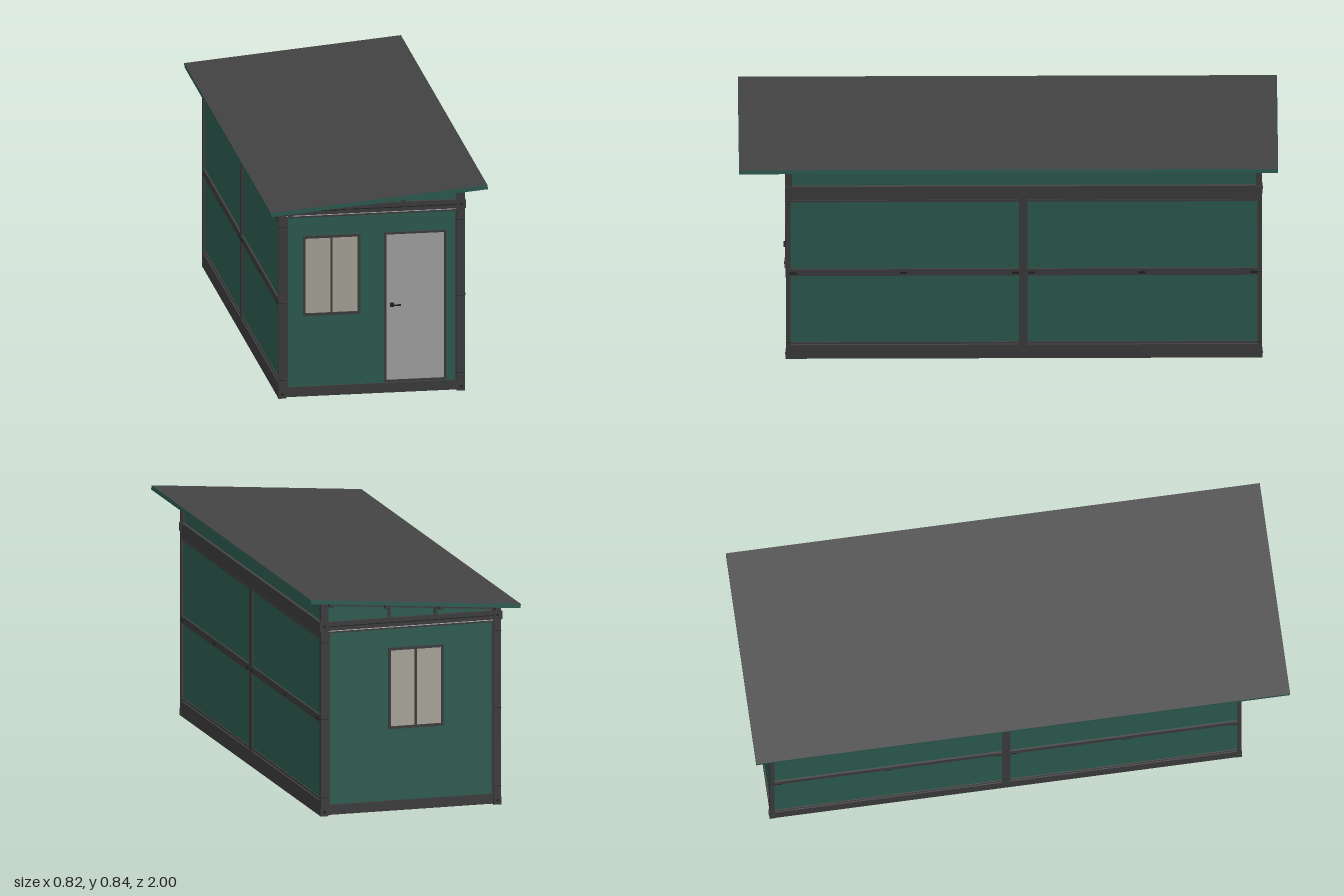
import * as THREE from 'three';

const mat = (color) => {
  const m = new THREE.MeshStandardMaterial();
  m.color.set(color);
  return m;
};

export function createModel() {
  const root = new THREE.Group();
  root.name = 'cabin';
  const green = mat(0x33665a), dark = mat(0x444444), black = mat(0x262626);
  const glass = mat(0xbab6aa), doorGrey = mat(0xb4b4b4), light = mat(0xcccccc);

  const ZF = 0.825, ZB = -0.94, ZC = (ZF + ZB) / 2, LEN = ZF - ZB, W = 0.35;
  const slope = 0.07 / 0.82;
  const under = (x) => 0.79 + slope * x; // underside of the roof

  // box given by its limits on each axis
  function box(name, x0, x1, y0, y1, z0, z1, m, parent = root) {
    const g = new THREE.BoxGeometry(Math.abs(x1 - x0), Math.abs(y1 - y0), Math.abs(z1 - z0));
    const mesh = new THREE.Mesh(g, m);
    mesh.position.set((x0 + x1) / 2, (y0 + y1) / 2, (z0 + z1) / 2);
    mesh.name = name;
    parent.add(mesh);
    return mesh;
  }
  // upright outline with thickness along z
  function plate(name, pts, z0, z1, m) {
    const shape = new THREE.Shape(pts.map((p) => new THREE.Vector2(p[0], p[1])));
    const g = new THREE.ExtrudeGeometry(shape, { depth: Math.abs(z1 - z0), bevelEnabled: false });
    g.translate(0, 0, Math.min(z0, z1));
    const mesh = new THREE.Mesh(g, m);
    mesh.name = name;
    root.add(mesh);
  }
  // rectangular frame of four bars
  function frame(name, x0, x1, y0, y1, t, z0, z1) {
    const g = new THREE.Group();
    g.name = name;
    root.add(g);
    box('bottomBar', x0, x1, y0, y0 + t, z0, z1, dark, g);
    box('topBar', x0, x1, y1 - t, y1, z0, z1, dark, g);
    box('sideBar', x0, x0 + t, y0 + t, y1 - t, z0, z1, dark, g);
    box('sideBar', x1 - t, x1, y0 + t, y1 - t, z0, z1, dark, g);
    return g;
  }

  // roof slab: dark faces, green edges
  const roof = new THREE.Mesh(
    new THREE.BoxGeometry(0.818, 0.016, 2),
    [green, green, dark, dark, green, green]);
  roof.rotation.z = Math.atan(slope);
  roof.position.y = 0.798;
  roof.name = 'roof';
  root.add(roof);

  // purlins running under the roof and out past both gables
  for (const x of [-0.33, -0.112, 0.097, 0.314]) {
    const p = box('purlin', x - 0.008, x + 0.008, 0, 0.02, -0.965, 0.965, dark);
    p.rotation.z = Math.atan(slope);
    p.position.y = under(x) - 0.01;
  }

  // floor and ceiling
  box('floor', -0.345, 0.345, 0.003, 0.04, ZB + 0.005, ZF - 0.005, black);
  box('ceiling', -0.335, 0.335, 0.72, 0.732, ZB + 0.01, ZF - 0.01, dark);

  // the two end walls
  for (const s of [1, -1]) {
    const zo = s > 0 ? ZF : ZB;
    const at = (d) => zo - s * d; // distance inward from the outer face
    box('endPanel', -0.325, 0.325, 0.035, 0.71, at(0.007), at(0.025), green);
    box('endSill', -0.335, 0.335, 0.004, 0.042, at(0.002), at(0.03), dark);
    box('endBeam', -0.335, 0.335, 0.704, 0.738, at(0.002), at(0.03), dark);
    box('beamLip', -0.32, 0.32, 0.718, 0.721, at(0.001), at(0.01), black);
    box('lightGap', -0.32, 0.32, 0.700, 0.704, at(0.006), at(0.02), light);
    box('panelTrim', -0.318, 0.318, 0.694, 0.700, at(0.004), at(0.02), dark);
    plate('gablePanel', [[-0.335, 0.735], [0.335, 0.735], [0.335, under(0.335)], [-0.335, under(-0.335)]],
      at(0.012), at(0.022), green);
    plate('rafter', [[-0.35, under(-0.35) - 0.019], [0.35, under(0.35) - 0.019], [0.35, under(0.35)], [-0.35, under(-0.35)]],
      at(0.004), at(0.024), dark);
    for (const x of [-0.098, 0.082])
      box('gableStud', x - 0.006, x + 0.006, 0.735, under(x) - 0.01, at(0.005), at(0.02), dark);

    for (const e of [1, -1]) {
      // corner post with end plates, bolts and joint lines
      box('cornerPost', e * 0.32, e * W, 0, under(e * W), at(0), at(0.016), dark);
      box('postTrim', e * 0.314, e * 0.32, 0.04, 0.7, at(0.004), at(0.02), dark);
      box('footPlate', e * 0.321, e * 0.351, 0, 0.028, at(-0.002), at(0.016), dark);
      box('headPlate', e * 0.322, e * 0.354, 0.704, 0.736, at(-0.002), at(0.016), dark);
      for (const y of [0.016, 0.722]) {
        const bolt = new THREE.Mesh(new THREE.CylinderGeometry(0.005, 0.005, 0.004, 16), black);
        bolt.rotation.x = Math.PI / 2;
        bolt.position.set(e * 0.336, y, at(-0.002));
        bolt.name = 'bolt';
        root.add(bolt);
      }
      for (const y of [0.07, 0.368, 0.66])
        box('postJoint', e * 0.322, e * 0.3505, y - 0.001, y + 0.001, at(-0.0005), at(0.016), black);
    }
  }

  // the two long sides
  for (const e of [1, -1]) {
    const top = under(e * 0.345);
    const x = (d) => e * (W - d);
    const zMid = -0.055;
    box('sidePanel', x(0.008), x(0.025), 0.05, 0.69, ZB + 0.01, ZF - 0.01, green);
    box('sideSill', x(0), x(0.03), 0, 0.058, ZB + 0.002, ZF - 0.002, dark);
    box('sideBeam', x(0), x(0.03), 0.68, 0.736, ZB + 0.002, ZF - 0.002, dark);
    box('upperPanel', x(0.012), x(0.022), 0.736, top, ZB + 0.012, ZF - 0.012, green);
    box('eaveBeam', x(0.004), x(0.022), top - 0.014, top, ZB + 0.004, ZF - 0.004, dark);
    for (const z of [ZF - 0.012, ZB + 0.012])
      box('upperPost', x(0.002), x(0.02), 0.736, top, z - 0.01, z + 0.01, dark);
    box('middlePost', x(0.001), x(0.02), 0.058, 0.68, zMid - 0.016, zMid + 0.016, dark);
    box('middleRail', x(0.001), x(0.02), 0.354, 0.382, ZB + 0.004, ZF - 0.004, dark);
    // trims and rail clips
    for (const y of [0.064, 0.672])
      box('panelTrim', x(0.004), x(0.02), y - 0.004, y + 0.004, ZB + 0.01, ZF - 0.01, dark);
    for (const z of [0.8, 0.39, -0.025, -0.085, -0.495, -0.91])
      box('railClip', x(-0.004), x(0.004), 0.364, 0.372, z - 0.013, z + 0.013, black);
  }

  // sliding windows: front and back
  function windowUnit(name, x0, x1, zo, s) {
    const y0 = 0.314, y1 = 0.623, xm = (x0 + x1) / 2;
    const g = frame(name, x0, x1, y0, y1, 0.01, zo - s * 0.02, zo);
    box('glass', x0 + 0.008, x1 - 0.008, y0 + 0.008, y1 - 0.008, zo - s * 0.02, zo - s * 0.005, glass, g);
    box('mullion', xm - 0.004, xm + 0.004, y0 + 0.01, y1 - 0.01, zo - s * 0.02, zo - s * 0.002, dark, g);
  }
  windowUnit('frontWindow', -0.258, -0.043, ZF - 0.001, 1);
  windowUnit('backWindow', -0.128, 0.087, ZB + 0.001, -1);

  // door with lever handle
  frame('doorFrame', 0.047, 0.281, 0.045, 0.623, 0.008, ZF - 0.02, ZF - 0.001);
  box('door', 0.054, 0.274, 0.052, 0.616, ZF - 0.02, ZF - 0.004, doorGrey);
  box('handlePlate', 0.07, 0.083, 0.336, 0.35, ZF - 0.005, ZF + 0.003, black);
  box('handleLever', 0.075, 0.109, 0.34, 0.345, ZF + 0.003, ZF + 0.008, black);

  return root;
}
